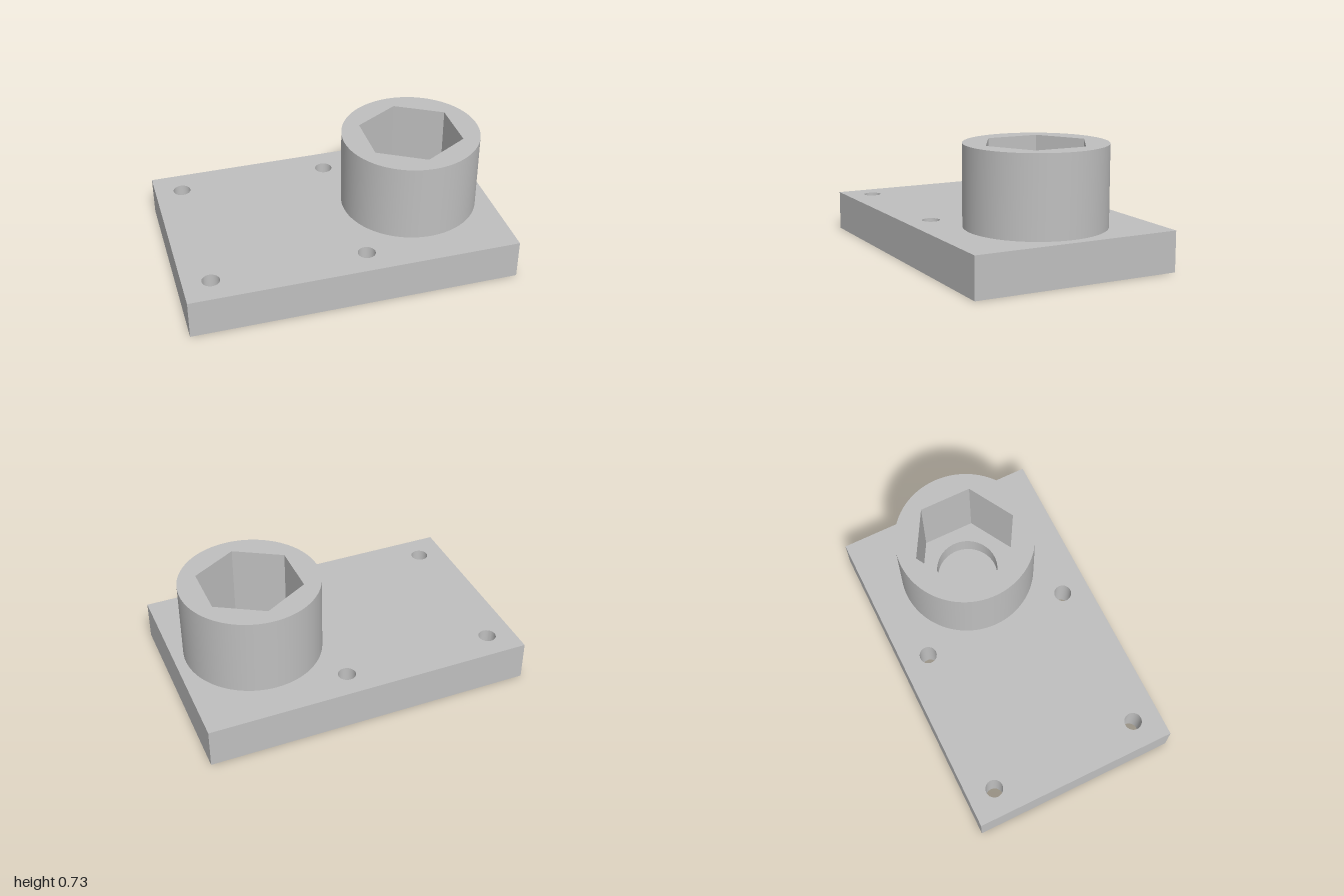
import * as THREE from 'three';
import { mergeGeometries, toCreasedNormals } from 'three/addons/utils/BufferGeometryUtils.js';

const HALF_X = 1, HALF_Z = 0.635;
const BOSS_X = 0.516;
const FLOOR = 0.12, PLATE_TOP = 0.243, BOSS_TOP = 0.725;

// Closed counter-clockwise outline with n corners
function ring(cx, cy, r, n, start = 0) {
  return Array.from({ length: n }, (_, i) => {
    const a = start + (i / n) * Math.PI * 2;
    return new THREE.Vector2(cx + r * Math.cos(a), cy + r * Math.sin(a));
  });
}

// Horizontal face with holes, looking up or down
function face(outline, holes, y, up = true) {
  const shape = new THREE.Shape(outline);
  shape.holes = holes.map((h) => new THREE.Path(h));
  const g = new THREE.ShapeGeometry(shape).toNonIndexed();
  g.deleteAttribute('uv');
  return g.rotateX(up ? -Math.PI / 2 : Math.PI / 2).translate(0, y, 0);
}

// Vertical wall along an outline; inward turns it to face the inside
function wall(outline, y0, y1, inward = false) {
  const pos = [];
  outline.forEach((p, i) => {
    const q = outline[(i + 1) % outline.length];
    const [a, b] = inward ? [q, p] : [p, q];
    pos.push(a.x, y0, -a.y, b.x, y0, -b.y, b.x, y1, -b.y);
    pos.push(a.x, y0, -a.y, b.x, y1, -b.y, a.x, y1, -a.y);
  });
  const g = new THREE.BufferGeometry();
  g.setAttribute('position', new THREE.Float32BufferAttribute(pos, 3));
  g.computeVertexNormals();
  return toCreasedNormals(g, Math.PI / 6);
}

export function createModel() {
  const group = new THREE.Group();
  const grey = new THREE.MeshStandardMaterial({ color: 0xbfbfbf });
  grey.name = 'plain grey';

  const add = (name, parts) => {
    const mesh = new THREE.Mesh(mergeGeometries(parts), grey);
    mesh.name = name;
    group.add(mesh);
  };

  const rect = [[-1, -1], [1, -1], [1, 1], [-1, 1]]
    .map(([x, z]) => new THREE.Vector2(x * HALF_X, z * HALF_Z));
  const boss = ring(BOSS_X, 0, 0.42, 96);
  const hex = ring(BOSS_X, 0, 0.32, 6, Math.PI / 2);
  const bore = ring(BOSS_X, 0, 0.192, 64);
  const bolts = [-0.834, 0.098].flatMap((x) =>
    [-0.468, 0.468].map((z) => ring(x, z, 0.053, 32)));

  // Base plate with four through holes
  add('basePlate', [
    wall(rect, 0, PLATE_TOP),
    face(rect, bolts, 0, false),
    face(rect, [...bolts, boss], PLATE_TOP),
  ]);
  add('boltHoles', bolts.map((h) => wall(h, 0, PLATE_TOP, true)));

  // Round boss with a hexagonal socket
  add('boss', [
    wall(boss, PLATE_TOP, BOSS_TOP),
    face(boss, [hex], BOSS_TOP),
  ]);
  add('hexSocket', [
    wall(hex, PLATE_TOP, BOSS_TOP, true),
    face(hex, [bore], PLATE_TOP),
  ]);

  // Blind round bore below the socket
  add('bore', [
    wall(bore, FLOOR, PLATE_TOP, true),
    face(bore, [], FLOOR),
  ]);

  return group;
}
